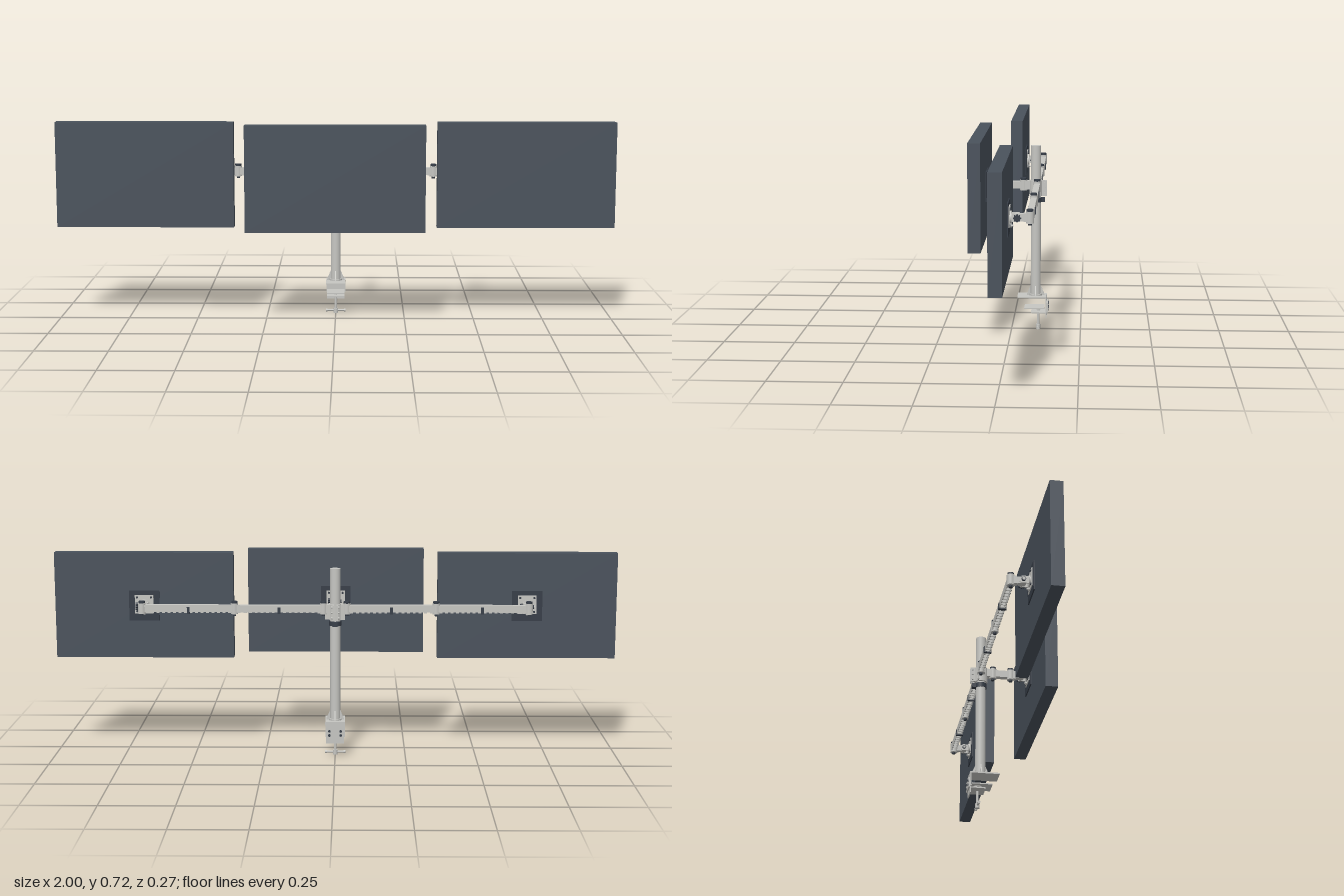
import * as THREE from 'three';

const mat = (name, color) => Object.assign(new THREE.MeshStandardMaterial({ color }), { name });
const screenMat = mat('slate screen', 0x4a525c);
const metal = mat('light grey metal', 0xc6c6c2);
const dark = mat('dark plastic', 0x363d47);

const POLE_Z = -0.087, ARM_Y = 0.528, ARM_Z = -0.093;

function add(parent, name, geometry, material, x = 0, y = 0, z = 0) {
  const mesh = new THREE.Mesh(geometry, material);
  mesh.name = name;
  mesh.position.set(x, y, z);
  parent.add(mesh);
  return mesh;
}
const box = (p, name, m, w, h, d, x, y, z) => add(p, name, new THREE.BoxGeometry(w, h, d), m, x, y, z);
function cyl(p, name, m, r, len, x, y, z, axis = 'y', sides = 24) {
  const g = new THREE.CylinderGeometry(r, r, len, sides);
  if (axis === 'x') g.rotateZ(Math.PI / 2);
  if (axis === 'z') g.rotateX(Math.PI / 2);
  return add(p, name, g, m, x, y, z);
}
function group(parent, name) {
  const g = new THREE.Group();
  g.name = name;
  parent.add(g);
  return g;
}

// Star-shaped hand knob whose axis runs along x
function starKnob(p, x, y, z) {
  const s = new THREE.Shape();
  for (let i = 0; i < 48; i++) {
    const a = (i / 48) * Math.PI * 2, r = 0.0115 + 0.0018 * Math.cos(a * 8);
    s[i ? 'lineTo' : 'moveTo'](r * Math.cos(a), r * Math.sin(a));
  }
  const g = new THREE.ExtrudeGeometry(s, { depth: 0.008, bevelEnabled: false });
  g.translate(0, 0, -0.004).rotateY(Math.PI / 2);
  add(p, 'starKnob', g, dark, x, y, z);
}

// Screen with its mounting plate, tilt head and knuckle; z = 0 is the panel's back
function display(parent, name, x, z) {
  const d = group(parent, name);
  d.position.set(x, 0, z);
  box(d, 'screenPanel', screenMat, 0.636, 0.378, 0.044, 0, 0.527, 0.022);
  box(d, 'backPad', dark, 0.108, 0.108, 0.004, 0, 0.527, -0.002);
  box(d, 'mountPlate', metal, 0.066, 0.066, 0.004, 0, 0.532, -0.005);
  for (const sx of [-1, 1]) for (const sy of [-1, 1])
    cyl(d, 'plateScrew', dark, 0.004, 0.003, sx * 0.025, 0.532 + sy * 0.025, -0.008, 'z', 10);
  cyl(d, 'swivelDisc', metal, 0.021, 0.006, 0, ARM_Y, -0.009, 'z');
  cyl(d, 'releasePin', metal, 0.0035, 0.012, 0, 0.501, -0.012, 'z', 12);
  cyl(d, 'releaseTip', metal, 0.006, 0.005, 0, 0.501, -0.01, 'z', 12);
  for (const s of [-1, 1]) box(d, 'tiltEar', metal, 0.005, 0.026, 0.026, s * 0.014, ARM_Y, -0.024);
  cyl(d, 'tiltBarrel', metal, 0.013, 0.022, 0, ARM_Y, -0.03, 'x');
  cyl(d, 'tiltAxle', metal, 0.005, 0.046, 0, ARM_Y, -0.03, 'x', 12);
  starKnob(d, 0.023, ARM_Y, -0.03);
  cyl(d, 'tiltNut', dark, 0.008, 0.005, -0.019, ARM_Y, -0.03, 'x', 6);
  box(d, 'tiltNeck', metal, 0.018, 0.024, 0.028, 0, ARM_Y, -0.05);
}

// Upright pivot with dark caps
function pivot(p, name, x, z, r = 0.013) {
  const g = group(p, name);
  cyl(g, 'pivotBarrel', metal, r, 0.038, x, ARM_Y, z);
  cyl(g, 'pivotCap', dark, r * 0.85, 0.008, x, ARM_Y + 0.022, z);
  cyl(g, 'pivotNut', dark, r * 0.5, 0.008, x, ARM_Y - 0.022, z, 'y', 6);
}

// Channel arm link, open below with toothed lower edges
function armLink(p, x0, x1) {
  const g = group(p, 'armLink'), len = x1 - x0, mid = (x0 + x1) / 2;
  box(g, 'channelTop', metal, len, 0.004, 0.021, mid, 0.539, ARM_Z);
  for (const s of [-1, 1])
    box(g, 'channelWall', metal, len, 0.022, 0.003, mid, 0.527, ARM_Z + s * 0.009);
  const n = Math.round(len / 0.02);
  for (let i = 0; i < n; i++) {
    const x = x0 + (i + 0.5) * len / n;
    box(g, 'channelRib', metal, 0.003, 0.015, 0.015, x, 0.53, ARM_Z);
    for (const s of [-1, 1])
      box(g, 'channelTooth', metal, 0.01, 0.003, 0.003, x, 0.5145, ARM_Z + s * 0.009);
  }
  // Cable clip around the middle of the link
  box(g, 'cableClip', dark, 0.01, 0.004, 0.024, mid, 0.512, ARM_Z);
  for (const s of [-1, 1])
    box(g, 'cableClipSide', dark, 0.01, 0.024, 0.003, mid, 0.522, ARM_Z + s * 0.012);
}

function sideArm(parent, side) {
  const g = group(parent, side > 0 ? 'leftArm' : 'rightArm');
  const span = (a, b) => armLink(g, Math.min(side * a, side * b), Math.max(side * a, side * b));
  span(0.048, 0.348);
  span(0.362, 0.672);
  pivot(g, 'shoulderPivot', side * 0.041, ARM_Z);
  pivot(g, 'elbowPivot', side * 0.355, ARM_Z);
  pivot(g, 'wristPivot', side * 0.682, ARM_Z);
  box(g, 'wristLink', metal, 0.02, 0.028, 0.02, side * 0.682, ARM_Y, ARM_Z + 0.01);
}

// Ring sleeve round the pole
function sleeve(p, name, m, rOut, y0, y1) {
  const pts = [[0.018, y0], [rOut, y0], [rOut, y0], [rOut, y1], [rOut, y1], [0.018, y1]]
    .map(([r, y]) => new THREE.Vector2(r, y));
  add(p, name, new THREE.LatheGeometry(pts, 32), m, 0, 0, POLE_Z);
}

function hub(parent) {
  const g = group(parent, 'hub');
  sleeve(g, 'hubSleeve', metal, 0.0235, 0.489, 0.545);
  for (const s of [-1, 1]) {
    box(g, 'hubArmBlock', metal, 0.022, 0.03, 0.026, s * 0.03, ARM_Y, POLE_Z - 0.003);
    box(g, 'hubFlange', metal, 0.005, 0.055, 0.024, s * 0.007, 0.517, -0.114);
    box(g, 'hubWing', metal, 0.026, 0.055, 0.004, s * 0.022, 0.517, POLE_Z - 0.012);
    for (const y of [0.498, 0.517, 0.536])
      cyl(g, 'flangeBolt', metal, 0.004, 0.007, s * 0.011, y, -0.118, 'x', 6);
  }
  box(g, 'hubFrontBlock', metal, 0.024, 0.03, 0.026, 0, ARM_Y, -0.057);
  // Short arm reaching to the middle display
  pivot(g, 'frontPivot', 0, -0.043);
  box(g, 'frontArm', metal, 0.02, 0.026, 0.056, 0, ARM_Y, -0.013);
  pivot(g, 'frontWrist', 0, 0.022);
  box(g, 'frontWristLink', metal, 0.02, 0.03, 0.018, 0, ARM_Y, 0.032);
  // Stop collar below the hub
  sleeve(g, 'stopCollar', dark, 0.0215, 0.467, 0.483);
  box(g, 'collarLug', dark, 0.018, 0.016, 0.014, 0, 0.475, -0.113);
}

function deskClamp(parent) {
  const g = group(parent, 'deskClamp');
  box(g, 'topPlate', metal, 0.07, 0.005, 0.104, 0, 0.1225, -0.074);
  box(g, 'backPlate', metal, 0.07, 0.054, 0.004, 0, 0.098, -0.125);
  box(g, 'lowerBackPlate', metal, 0.064, 0.035, 0.005, 0, 0.085, -0.1295);
  box(g, 'jawDrop', metal, 0.064, 0.024, 0.004, 0, 0.059, -0.125);
  box(g, 'lowerJaw', metal, 0.064, 0.004, 0.056, 0, 0.066, -0.099);
  for (const x of [-0.02, 0.02]) for (const y of [0.078, 0.093])
    cyl(g, 'clampBolt', dark, 0.005, 0.003, x, y, -0.133, 'z', 6);
  // Pole foot with four triangular gussets
  cyl(g, 'poleFoot', metal, 0.023, 0.006, 0, 0.128, POLE_Z);
  const fin = new THREE.Shape([[0.016, 0], [0.032, 0], [0.03, 0.008], [0.018, 0.036], [0.016, 0.036]]
    .map(([x, y]) => new THREE.Vector2(x, y)));
  for (let i = 0; i < 4; i++) {
    const geo = new THREE.ExtrudeGeometry(fin, { depth: 0.004, bevelEnabled: false });
    geo.translate(0, 0, -0.002).rotateY(i * Math.PI / 2);
    add(g, 'gusset', geo, metal, 0, 0.125, POLE_Z);
  }
  // Pressure pad, screw and T-handle
  box(g, 'pressurePad', metal, 0.064, 0.004, 0.072, 0, 0.082, -0.083);
  cyl(g, 'padSwivel', metal, 0.017, 0.005, 0, 0.0775, -0.096);
  cyl(g, 'clampScrew', metal, 0.0045, 0.066, 0, 0.045, -0.096, 'y', 16);
  cyl(g, 'screwHead', metal, 0.008, 0.017, 0, 0.0085, -0.096, 'y', 16);
  cyl(g, 'handleBar', metal, 0.0035, 0.064, 0, 0.01, -0.096, 'x', 12);
  for (const s of [-1, 1]) cyl(g, 'handleEnd', metal, 0.0055, 0.006, s * 0.033, 0.01, -0.096, 'x', 12);
}

export function createModel() {
  const model = new THREE.Group();
  model.name = 'tripleDisplayStand';
  cyl(model, 'pole', metal, 0.018, 0.545, 0, 0.3975, POLE_Z, 'y', 40);
  deskClamp(model);
  hub(model);
  for (const s of [-1, 1]) {
    sideArm(model, s);
    display(model, s > 0 ? 'leftDisplay' : 'rightDisplay', s * 0.682, -0.023);
  }
  display(model, 'middleDisplay', 0, 0.09);
  return model;
}
